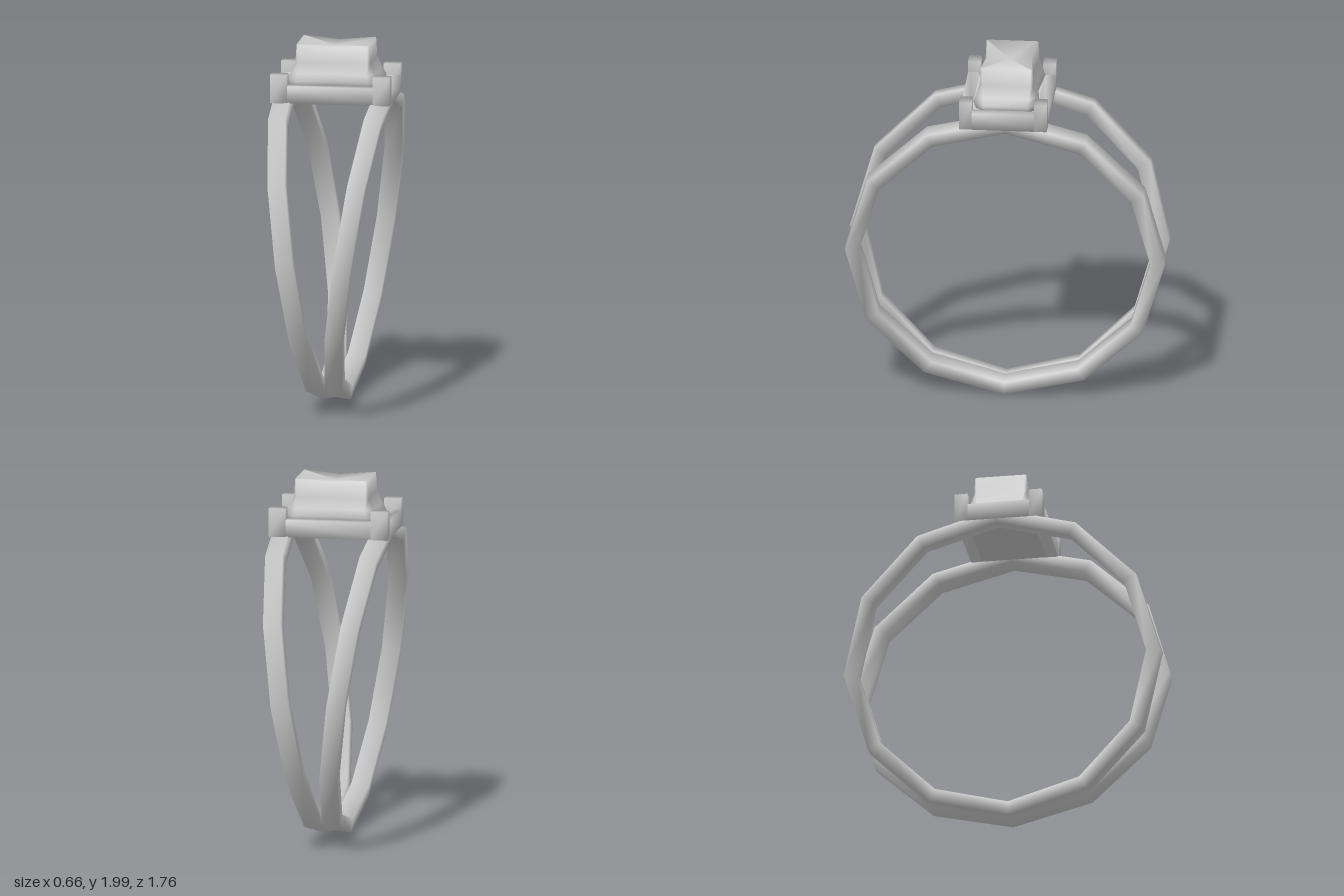
import * as THREE from 'three';
import { mergeVertices } from 'three/addons/utils/BufferGeometryUtils.js';

const material = new THREE.MeshStandardMaterial({ color: 0xcccccc });

// Weld corners so that shading rolls softly over the edges
function smooth(geometry) {
  geometry.deleteAttribute('normal');
  geometry.deleteAttribute('uv');
  const welded = mergeVertices(geometry, 1e-4);
  welded.computeVertexNormals();
  return welded;
}

function add(parent, name, geometry) {
  const mesh = new THREE.Mesh(geometry, material);
  mesh.name = name;
  parent.add(mesh);
  return mesh;
}

// Twelve-sided hoop of rectangular section, its axis along x
function hoopGeometry() {
  const inner = 0.8, outer = 0.878, half = 0.049;
  const profile = [
    [outer, -half], [outer, half], [inner, half], [inner, -half], [outer, -half],
  ].map(([r, y]) => new THREE.Vector2(r, y));
  return smooth(new THREE.LatheGeometry(profile, 12).rotateZ(Math.PI / 2).rotateX(-0.018));
}

function rectangle(path, w, d) {
  path.moveTo(-w, -d);
  path.lineTo(w, -d);
  path.lineTo(w, d);
  path.lineTo(-w, d);
  path.closePath();
  return path;
}

// Rectangular rim around the stone
function rimGeometry() {
  const shape = rectangle(new THREE.Shape(), 0.33, 0.24);
  shape.holes.push(rectangle(new THREE.Path(), 0.27, 0.18));
  const geometry = new THREE.ExtrudeGeometry(shape, { depth: 0.095, bevelEnabled: false });
  return smooth(geometry.rotateX(-Math.PI / 2).translate(0, 1.69, 0));
}

// Cut stone: stacked ten-point outlines with pinched long sides and a dished table
function stoneGeometry() {
  // half width, half depth, height, corner cut, pinch, dip at the middle
  const levels = [
    [0.25, 0.165, 1.76, 0.05, 0.02, 0],
    [0.26, 0.18, 1.8, 0.06, 0.02, 0],
    [0.235, 0.168, 1.84, 0.04, 0.02, 0],
    [0.207, 0.148, 1.9, 0.015, 0.02, 0],
    [0.2, 0.142, 2.0, 0.008, 0.02, 0.015],
  ];
  const positions = [], index = [], n = 10;
  for (const [w, d, y, cut, pinch, dip] of levels) {
    const side = [[w, d - cut], [w, cut - d], [w - cut, -d], [0, pinch - d], [cut - w, -d]];
    const ring = [...side, ...side.map(([x, z]) => [-x, -z])];
    for (const [x, z] of ring) positions.push(x, x === 0 ? y - dip : y, z - 0.008);
  }
  for (let l = 0; l < levels.length - 1; l++) {
    for (let i = 0; i < n; i++) {
      const a = l * n + i, b = l * n + (i + 1) % n;
      index.push(a, b, b + n, a, b + n, a + n);
    }
  }
  // Table and underside
  const top = (levels.length - 1) * n;
  positions.push(0, 1.975, -0.008, 0, 1.76, -0.008);
  const centre = levels.length * n;
  for (let i = 0; i < n; i++) {
    const j = (i + 1) % n;
    index.push(centre, top + i, top + j, centre + 1, j, i);
  }
  const geometry = new THREE.BufferGeometry();
  geometry.setAttribute('position', new THREE.Float32BufferAttribute(positions, 3));
  geometry.setIndex(index);
  geometry.computeVertexNormals();
  return geometry;
}

export function createModel() {
  const ring = new THREE.Group();
  ring.name = 'ring';

  // Two hoops spreading apart towards the top
  const hoop = hoopGeometry();
  for (const s of [1, -1]) {
    const mesh = add(ring, s > 0 ? 'leftHoop' : 'rightHoop', hoop);
    mesh.position.set(s * 0.157, 0.883, 0);
    mesh.rotation.z = -s * 0.141;
  }

  // Setting: rim, floor and corner prongs
  const setting = new THREE.Group();
  setting.name = 'setting';
  ring.add(setting);
  add(setting, 'rim', rimGeometry());
  add(setting, 'floor', new THREE.BoxGeometry(0.56, 0.075, 0.38)).position.y = 1.7285;
  const prong = smooth(new THREE.BoxGeometry(0.093, 0.157, 0.07));
  for (const sx of [1, -1]) {
    for (const sz of [1, -1]) {
      add(setting, 'prong', prong).position.set(sx * 0.284, 1.7685, sz * 0.206);
    }
  }

  add(ring, 'stone', stoneGeometry());
  return ring;
}
